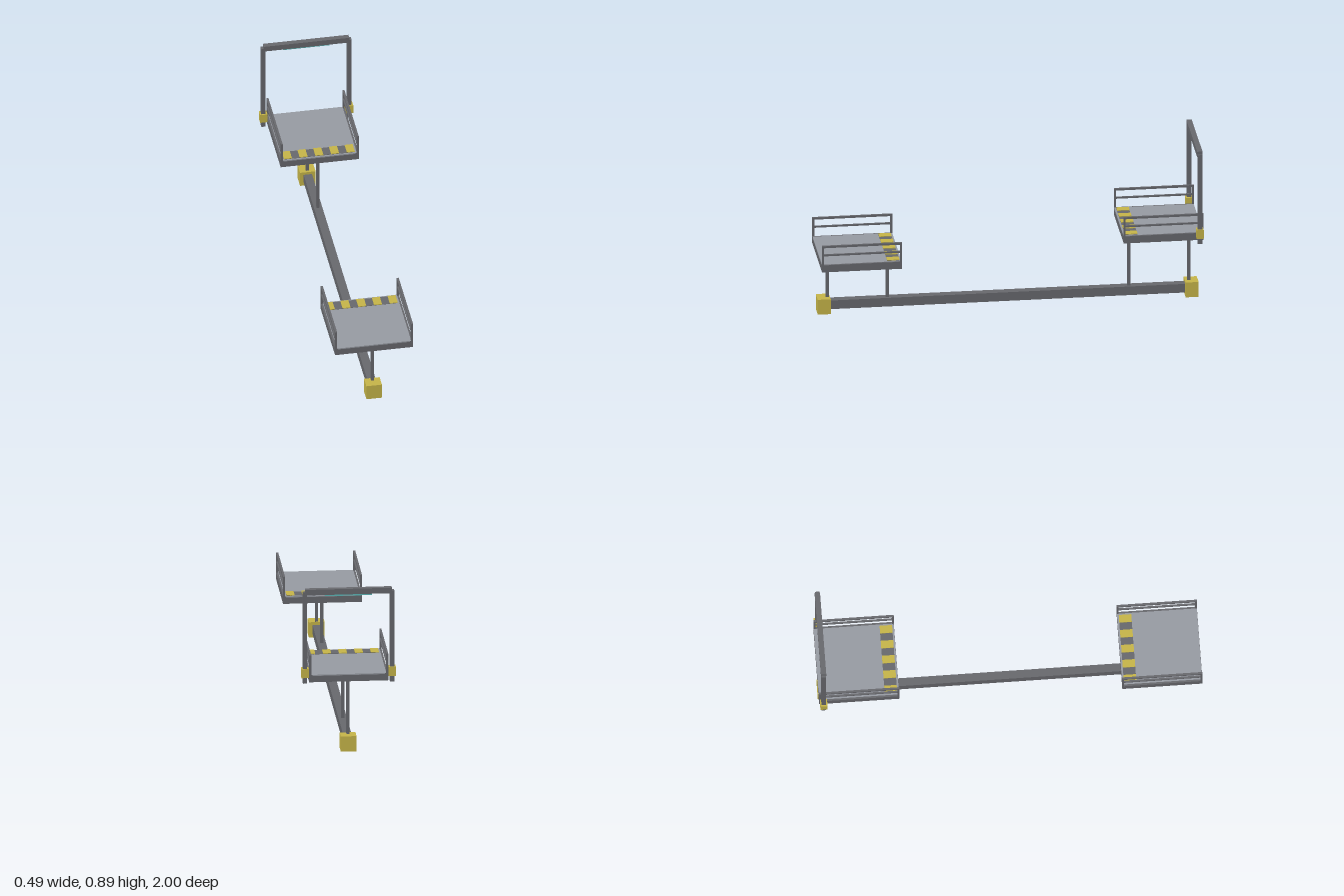
import * as THREE from 'three';

const mat = (name, color) => {
  const m = new THREE.MeshStandardMaterial({ color });
  m.name = name;
  return m;
};

export function createModel() {
  const steel = mat('steel grey', 0x696a6f);
  const deckGrey = mat('deck grey', 0x999da5);
  const yellow = mat('safety yellow', 0xc9b84a);
  const teal = mat('teal light', 0x5fbcbc);

  // Box given by its lower and upper limits on each axis
  const box = (parent, name, material, [x0, x1], [y0, y1], [z0, z1]) => {
    const mesh = new THREE.Mesh(new THREE.BoxGeometry(x1 - x0, y1 - y0, z1 - z0), material);
    mesh.position.set((x0 + x1) / 2, (y0 + y1) / 2, (z0 + z1) / 2);
    mesh.name = name;
    parent.add(mesh);
  };
  // Mirrored pair of boxes on both sides of x = 0
  const pair = (parent, name, material, [x0, x1], y, z) => {
    box(parent, name + 'Left', material, [x0, x1], y, z);
    box(parent, name + 'Right', material, [-x1, -x0], y, z);
  };

  const model = new THREE.Group();
  model.name = 'liftPlatforms';

  // Long ground beam with end blocks
  box(model, 'groundBeam', steel, [-0.022, 0.022], [0.02, 0.068], [-0.985, 0.992]);
  box(model, 'frontEndBlock', yellow, [-0.041, 0.041], [0, 0.083], [0.932, 1]);
  box(model, 'backEndBlock', yellow, [-0.041, 0.041], [0, 0.083], [-0.993, -0.925]);

  // Platform built with its inner edge at z = 0 and its outer edge at z = 0.418
  const platform = (name, bottom) => {
    const g = new THREE.Group();
    g.name = name;
    const top = bottom + 0.04, L = 0.418;

    // Open frame, joists and deck
    pair(g, 'sideBeam', steel, [0.19, 0.206], [bottom, top - 0.001], [0, L]);
    box(g, 'innerBeam', steel, [-0.19, 0.19], [bottom, top - 0.006], [0, 0.016]);
    box(g, 'outerBeam', steel, [-0.19, 0.19], [bottom, top - 0.006], [L - 0.016, L]);
    for (const z of [0.052, 0.366])
      box(g, 'joist', steel, [-0.19, 0.19], [bottom + 0.006, top - 0.006], [z - 0.012, z + 0.012]);
    box(g, 'deck', deckGrey, [-0.196, 0.196], [top - 0.006, top], [0.001, L - 0.001]);

    // Warning strip on the inner edge
    box(g, 'stripBase', steel, [-0.187, 0.187], [top, top + 0.0015], [0.01, 0.075]);
    for (let i = -2; i <= 2; i++)
      box(g, 'warningStripe', yellow, [i * 0.083 - 0.021, i * 0.083 + 0.021],
        [top, top + 0.005], [0.01, 0.075]);

    // Handrails
    const rx = [0.195, 0.206];
    for (const z of [0, L - 0.01])
      pair(g, 'railPost', steel, rx, [top - 0.001, top + 0.104], [z, z + 0.01]);
    pair(g, 'topRail', steel, rx, [top + 0.095, top + 0.106], [0, L]);
    pair(g, 'midRail', steel, [0.196, 0.205], [top + 0.049, top + 0.058], [0.01, L - 0.01]);

    // Support posts on the ground beam
    for (const z of [0.052, 0.366])
      box(g, 'supportPost', steel, [-0.008, 0.008], [0.06, bottom - 0.011], [z - 0.008, z + 0.008]);
    return g;
  };

  const front = platform('frontPlatform', 0.302);
  front.position.z = 0.58;
  const back = platform('backPlatform', 0.385);
  back.rotation.y = Math.PI;
  back.position.z = -0.58;
  model.add(front, back);

  // Gate arch at the back
  const arch = new THREE.Group();
  arch.name = 'gateArch';
  pair(arch, 'archPost', steel, [0.216, 0.238], [0.375, 0.872], [-0.988, -0.964]);
  box(arch, 'archBeam', steel, [-0.226, 0.226], [0.857, 0.887], [-0.99, -0.962]);
  pair(arch, 'archBracket', yellow, [0.207, 0.246], [0.407, 0.456], [-0.994, -0.957]);
  box(arch, 'lightBar', teal, [-0.123, 0.123], [0.848, 0.857], [-0.983, -0.969]);
  model.add(arch);

  return model;
}
